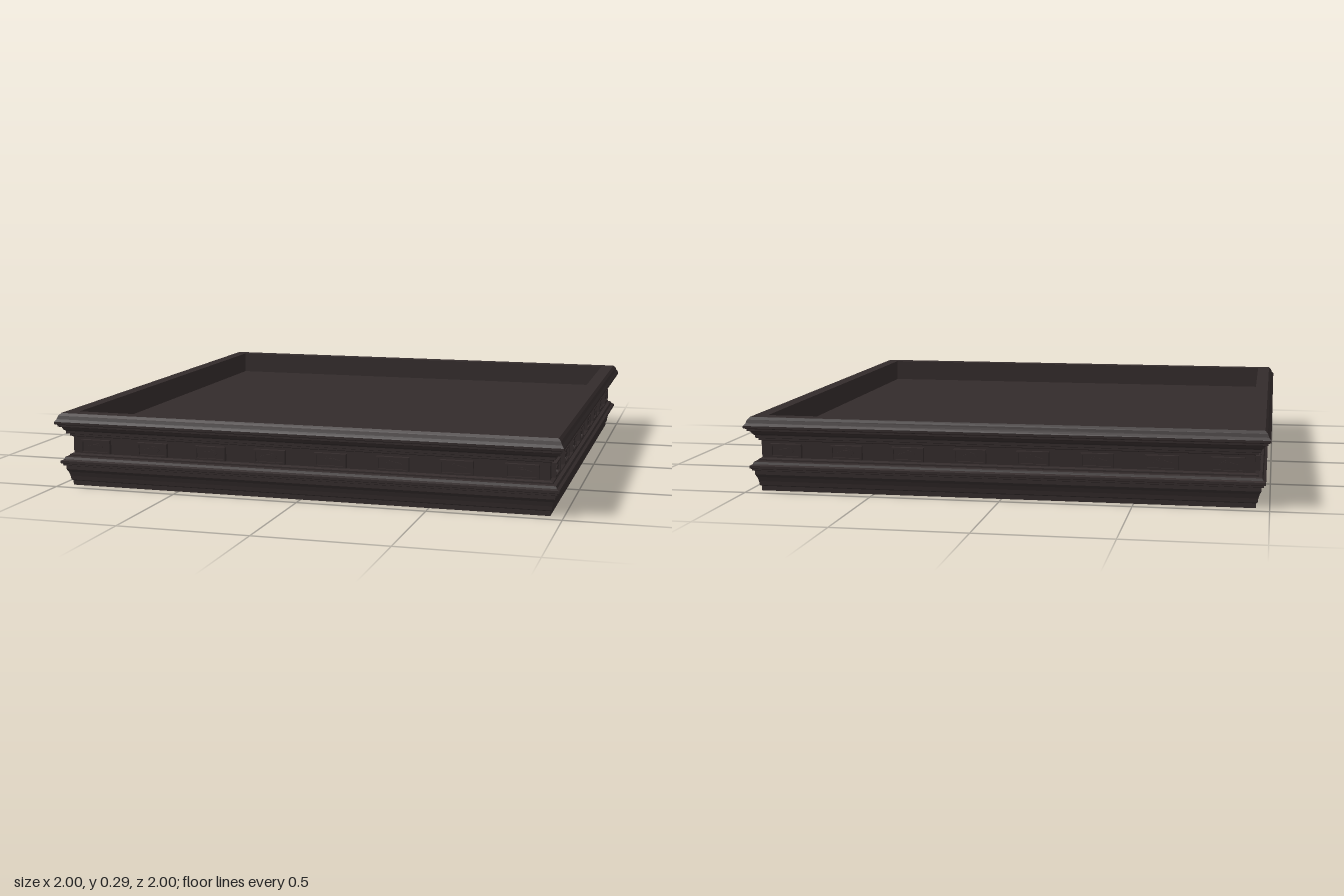
import * as THREE from 'three';

const darkWood = new THREE.MeshStandardMaterial({ color: 0x332b2b });
darkWood.name = 'darkWood';

// Half-width and height pairs: underside, plinth, frieze, cornice, rim, recessed floor
const PROFILE = [
  [0, 0], [0.95, 0], [0.95, 0.018], [0.956, 0.022], [0.958, 0.038], [0.963, 0.055],
  [0.969, 0.066], [0.969, 0.08], [0.978, 0.083], [0.978, 0.089], [0.985, 0.092],
  [0.985, 0.102], [0.975, 0.107], [0.971, 0.116], [0.958, 0.119], [0.958, 0.125],
  [0.945, 0.13], [0.945, 0.196], [0.956, 0.2], [0.956, 0.207], [0.966, 0.21],
  [0.966, 0.22], [0.974, 0.227], [0.978, 0.236], [0.99, 0.24], [0.99, 0.247],
  [1, 0.251], [1, 0.26], [0.992, 0.27], [0.987, 0.283], [0.978, 0.293],
  [0.925, 0.293], [0.925, 0.2], [0, 0.2],
];

const rectPoints = (w, h) => [
  new THREE.Vector2(-w, -h), new THREE.Vector2(w, -h),
  new THREE.Vector2(w, h), new THREE.Vector2(-w, h),
];

function extrude(shape, depth, curveSegments = 5) {
  return new THREE.ExtrudeGeometry(shape, { depth, bevelEnabled: false, curveSegments });
}

// Pointed leaf lying along +x
function leafShape(length, width) {
  const s = new THREE.Shape();
  s.moveTo(0, 0);
  s.quadraticCurveTo(length * 0.4, -width, length, 0);
  s.quadraticCurveTo(length * 0.4, width, 0, 0);
  return s;
}

const backGeo = new THREE.BoxGeometry(0.124, 0.054, 0.014);
const frameShape = new THREE.Shape(rectPoints(0.062, 0.027));
frameShape.holes.push(new THREE.Path(rectPoints(0.054, 0.02).reverse()));
const frameGeo = extrude(frameShape, 0.01);
const leafGeo = extrude(leafShape(0.068, 0.017), 0.006);
const sideLeafGeo = extrude(leafShape(0.036, 0.01), 0.005);

function part(name, geo, x = 0, y = 0, z = 0, rot = 0) {
  const m = new THREE.Mesh(geo, darkWood);
  m.name = name;
  m.position.set(x, y, z);
  m.rotation.z = rot;
  return m;
}

// Carved panel: backing, raised frame and a three-leaf sprig
function makePanel(dir) {
  const g = new THREE.Group();
  g.name = 'carvedPanel';
  g.add(part('panelBack', backGeo, 0, 0, 0.002));
  g.add(part('panelFrame', frameGeo, 0, 0, 0.007));
  const turn = dir > 0 ? 0 : Math.PI;
  g.add(part('centreLeaf', leafGeo, -0.03 * dir, 0, 0.008, turn));
  for (const s of [-1, 1]) {
    g.add(part('sideLeaf', sideLeafGeo, -0.03 * dir, 0, 0.008, turn + s * 0.45));
  }
  return g;
}

export function createModel() {
  const model = new THREE.Group();
  model.name = 'squarePlinth';

  // Square moulding: a four-sided lathe with mitred corners
  const points = PROFILE.map(([r, y]) => new THREE.Vector2(r * Math.SQRT2, y));
  const bodyGeo = new THREE.LatheGeometry(points, 4, Math.PI / 4).toNonIndexed();
  bodyGeo.computeVertexNormals();
  model.add(part('mouldedTray', bodyGeo));

  // Eight panels along the frieze on each of the four sides
  for (let side = 0; side < 4; side++) {
    const row = new THREE.Group();
    row.name = 'friezePanels';
    row.rotation.y = side * Math.PI / 2;
    for (let i = 0; i < 8; i++) {
      const panel = makePanel(i < 4 ? -1 : 1);
      panel.position.set((i - 3.5) * 0.2415, 0.16, 0.945);
      row.add(panel);
    }
    model.add(row);
  }
  return model;
}
